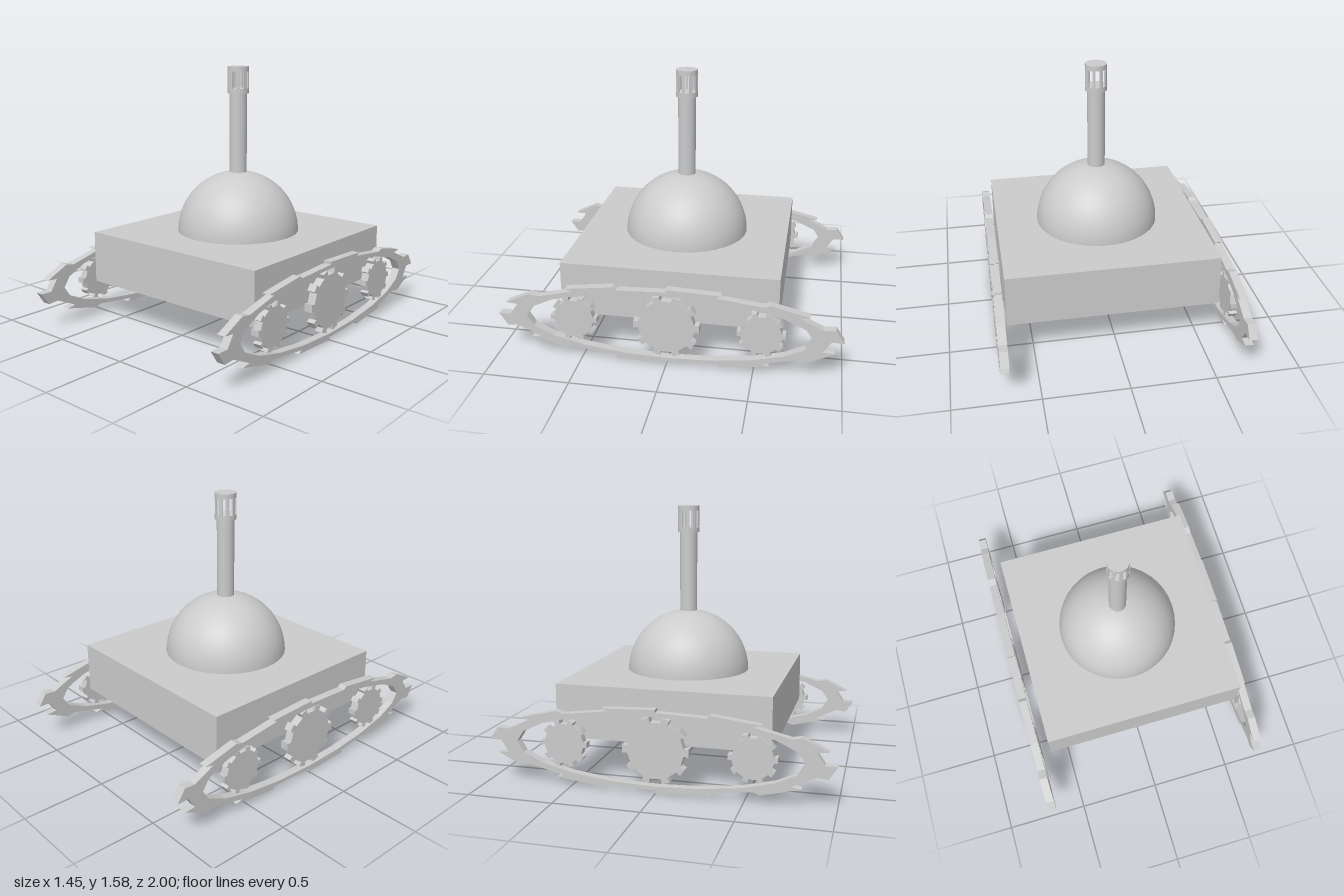
import * as THREE from 'three';

const material = new THREE.MeshStandardMaterial({ color: 0xcccccc });
const flatMaterial = new THREE.MeshStandardMaterial({ color: 0xcccccc, flatShading: true });
const rad = THREE.MathUtils.degToRad;

function add(parent, name, geometry, x, y, z, mat = material) {
  const mesh = new THREE.Mesh(geometry, mat);
  mesh.name = name;
  mesh.position.set(x, y, z);
  parent.add(mesh);
  return mesh;
}

// Toothed outline in the side plane: each tooth spans [start, start + width] degrees
function toothedOutline(teeth, start, width, tip, root, heightScale = 1) {
  const points = [];
  const put = (deg, r) => points.push(
    new THREE.Vector2(-Math.cos(rad(deg)) * r, Math.sin(rad(deg)) * r * heightScale));
  for (let i = 0; i < teeth; i++) {
    const a = start + (i * 360) / teeth;
    put(a, root);
    put(a, tip);
    put(a + width, tip);
    put(a + width, root);
  }
  return points;
}

// Extrude a side-plane shape along x, centred on its thickness
function sidePlate(shape, thickness) {
  const g = new THREE.ExtrudeGeometry(shape, { depth: thickness, bevelEnabled: false });
  g.translate(0, 0, -thickness / 2);
  return g.rotateY(Math.PI / 2);
}

function trackGeometry() {
  const shape = new THREE.Shape(toothedOutline(10, 18, 18, 1, 0.93, 0.24));
  const hole = [];
  for (let i = 0; i < 20; i++) {
    const a = rad(i * 18);
    hole.push(new THREE.Vector2(Math.cos(a) * 0.83, Math.sin(a) * 0.2));
  }
  shape.holes.push(new THREE.Path(hole));
  return sidePlate(shape, 0.05);
}

function gearGeometry(radius) {
  return sidePlate(new THREE.Shape(toothedOutline(10, -7, 14, radius, radius * 0.85)), 0.05);
}

// Slotted muzzle: two discs joined by nine curved bars
function createMuzzle() {
  const muzzle = new THREE.Group();
  muzzle.name = 'muzzle';
  const outer = 0.065, inner = 0.055;
  add(muzzle, 'muzzleBase', new THREE.CylinderGeometry(outer, outer, 0.03, 36), 0, 0.015, 0);
  add(muzzle, 'muzzleCap', new THREE.CylinderGeometry(outer, outer, 0.03, 36), 0, 0.147, 0);
  const half = rad(8.5);
  const section = new THREE.Shape();
  section.absarc(0, 0, outer, -half, half, false);
  section.absarc(0, 0, inner, half, -half, true);
  const bar = new THREE.ExtrudeGeometry(section, { depth: 0.102, bevelEnabled: false, curveSegments: 4 });
  bar.rotateX(-Math.PI / 2);
  for (let i = 0; i < 9; i++) {
    // a bar faces the front; slots lie halfway between bars
    add(muzzle, 'muzzleBar', bar, 0, 0.03, 0).rotation.y = -Math.PI / 2 + rad(i * 40);
  }
  return muzzle;
}

export function createModel() {
  const model = new THREE.Group();
  model.name = 'tank';
  const cx = 0.023;

  // Hull and domed turret
  add(model, 'hull', new THREE.BoxGeometry(1.264, 0.315, 1.264), cx, 0.4065, 0);
  add(model, 'turretDome',
    new THREE.SphereGeometry(0.377, 40, 20, 0, Math.PI * 2, 0, Math.PI / 2), cx, 0.558, 0);

  // Upright barrel
  add(model, 'barrel', new THREE.CylinderGeometry(0.053, 0.053, 0.515, 36), cx, 1.1575, 0);
  const muzzle = createMuzzle();
  muzzle.position.set(cx, 1.415, 0);
  model.add(muzzle);

  // Tracks with three gears each
  const track = trackGeometry();
  const bigGear = gearGeometry(0.193);
  const smallGear = gearGeometry(0.138);
  for (const [side, x] of [['left', 0.695], ['right', -0.7]]) {
    add(model, side + 'Track', track, x, 0.24, 0, flatMaterial);
    add(model, side + 'MiddleGear', bigGear, x + 0.002, 0.245, 0, flatMaterial);
    for (const [end, z] of [['Front', 0.545], ['Rear', -0.541]]) {
      add(model, side + end + 'Gear', smallGear, x + 0.002, 0.245, z, flatMaterial);
    }
  }
  return model;
}
